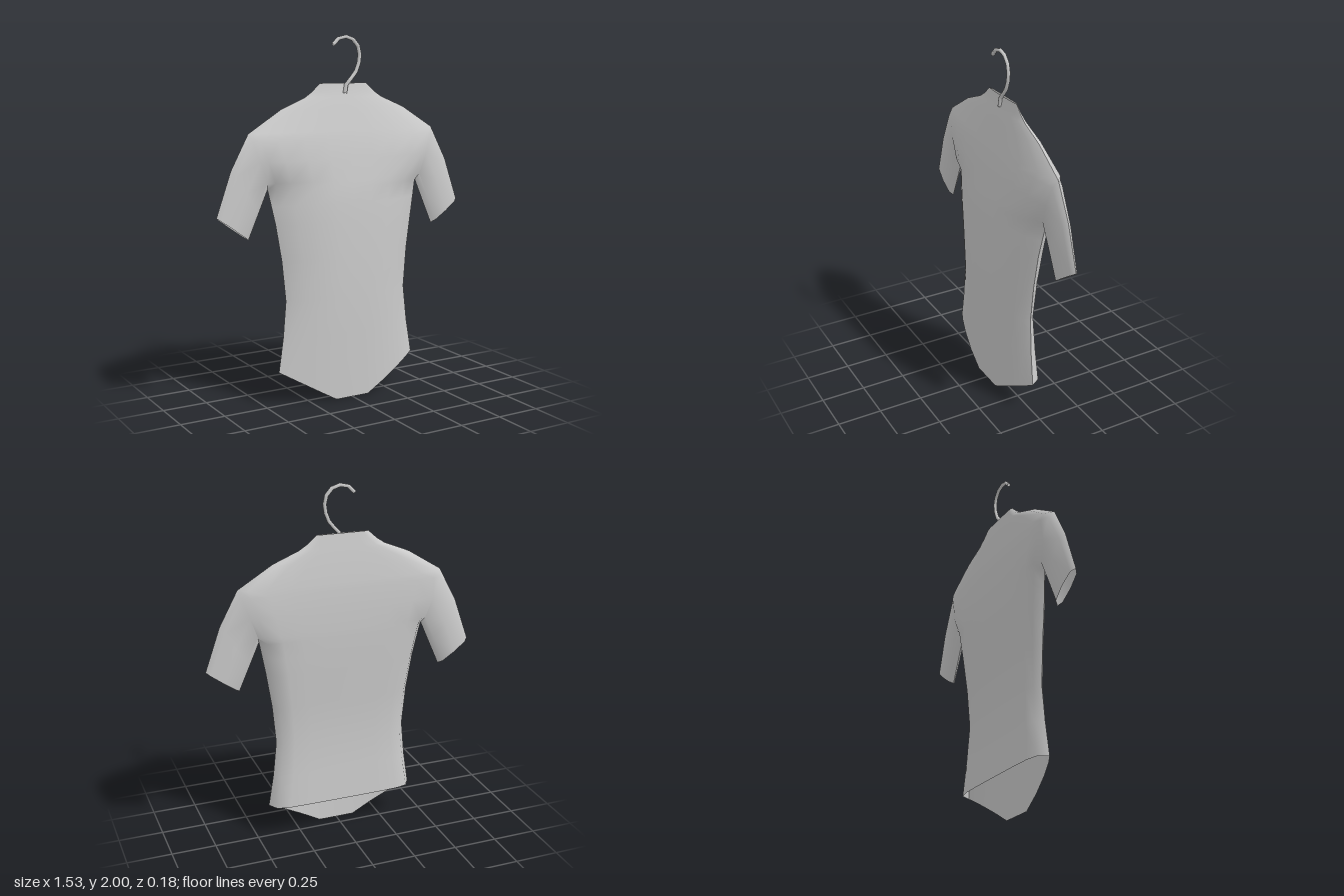
import * as THREE from 'three';
import { mergeGeometries, toCreasedNormals } from 'three/addons/utils/BufferGeometryUtils.js';

const { lerp } = THREE.MathUtils;

// Grid surface from point(row, col); flip turns the faces round.
function panel(rows, cols, point, flip) {
  const pos = [], idx = [];
  for (let i = 0; i < rows; i++) for (let j = 0; j < cols; j++) pos.push(...point(i, j));
  for (let i = 0; i < rows - 1; i++) for (let j = 0; j < cols - 1; j++) {
    const a = i * cols + j, b = a + 1, d = a + cols, c = d + 1;
    idx.push(...(flip ? [a, c, b, a, d, c] : [a, b, c, a, c, d]));
  }
  const g = new THREE.BufferGeometry();
  g.setAttribute('position', new THREE.Float32BufferAttribute(pos, 3));
  g.setIndex(idx);
  return g;
}

// Across the torso: position and bulge of front and back (0 = side edge, 1 = full depth)
const HALF = [[0, 1, 1], [0.24, 1, 1], [0.5, 0.88, 0.99], [0.75, 0.58, 0.95], [0.92, 0.25, 0.75], [1, 0, 0]];
const COLS = [...HALF.slice(1).reverse().map(([u, f, b]) => [-u, f, b]), ...HALF];

// Across the sleeve, from underarm to shoulder: position and fullness
const SLEEVE = [[0, 0], [0.12, 0.75], [0.5, 1], [0.88, 0.75], [1, 0]];
const INNER = [[0.47, 1.19], [0.525, 1.065], [0.585, 0.93]];
const OUTER = [[0.578, 1.49], [0.68, 1.3], [0.765, 1.06]];
const SLEEVE_MID = -0.026, SLEEVE_FRONT = [0.036, 0.03, 0.024], SLEEVE_BACK = [0.042, 0.036, 0.028];

// Torso rows: y, half width, front z, back z, side z
const LOWER = [
  [0.19, 0.43, 0.066, -0.065, 0.008],
  [0.38, 0.4, 0.082, -0.055, 0.004],
  [0.58, 0.38, 0.088, -0.045, 0],
  [0.8, 0.4, 0.09, -0.058, -0.004],
  [1.0, 0.432, 0.087, -0.074, -0.01],
  [1.1, 0.452, 0.084, -0.08, -0.018],
];
const CHEST = [[0.078, -0.085], [0.073, -0.086], [0.06, -0.087], [0.041, -0.083], [0.032, -0.08]];
const UPPER = [
  [1.61, 0.385, 0.003, -0.065, -0.03],
  [1.67, 0.24, -0.013, -0.056, -0.032],
  [1.7, 0.195, -0.022, -0.051, -0.034],
  [1.745, 0.145, -0.03, -0.044, -0.036],
];

// Chest rows end on the armhole, where their edges match the sleeve's opening
const armholeRows = SLEEVE.map(([s, p], k) => [
  lerp(INNER[0][1], OUTER[0][1], s), lerp(INNER[0][0], OUTER[0][0], s), ...CHEST[k],
  SLEEVE_MID + p * SLEEVE_FRONT[0], SLEEVE_MID - p * SLEEVE_BACK[0],
]);
const ROWS = [...LOWER, ...armholeRows, ...UPPER];

function torsoPanel(front) {
  return panel(ROWS.length, COLS.length, (i, j) => {
    const [y, w, zf, zb, edgeF, edgeB = edgeF] = ROWS[i];
    const [u, pf, pb] = COLS[j];
    const x = u * w;
    // the front hem drops to a low tail
    const hem = Math.max(0, (Math.abs(x) - 0.103) / 0.327) * 0.19;
    return [x, front && i === 0 ? hem : y, front ? lerp(edgeF, zf, pf) : lerp(edgeB, zb, pb)];
  }, !front);
}

function sleevePanel(side, front) {
  return panel(SLEEVE.length, INNER.length, (i, j) => {
    const [s, p] = SLEEVE[i];
    return [
      side * lerp(INNER[j][0], OUTER[j][0], s),
      lerp(INNER[j][1], OUTER[j][1], s),
      SLEEVE_MID + p * (front ? SLEEVE_FRONT[j] : -SLEEVE_BACK[j]),
    ];
  }, (side < 0) === front);
}

export function createModel() {
  const model = new THREE.Group();
  model.name = 'shirtOnHanger';
  const material = new THREE.MeshStandardMaterial({ color: 0xcccccc, side: THREE.DoubleSide });

  // Shirt: front and back panels with both sleeves, open at hem and cuffs
  const parts = [];
  for (const front of [true, false]) {
    parts.push(torsoPanel(front));
    for (const side of [1, -1]) parts.push(sleevePanel(side, front));
  }
  const shirt = new THREE.Mesh(toCreasedNormals(mergeGeometries(parts), 0.9), material);
  shirt.name = 'shirt';
  model.add(shirt);

  // Hanger hook: bent wire rising from the collar
  const path = new THREE.CatmullRomCurve3([
    [0, 1.69], [0.012, 1.745], [0.06, 1.79], [0.093, 1.88], [0.082, 1.945],
    [0.035, 1.988], [-0.03, 1.988], [-0.073, 1.95],
  ].map(([x, y]) => new THREE.Vector3(x, y, -0.017)));
  const hook = new THREE.Mesh(new THREE.TubeGeometry(path, 10, 0.011, 6), material);
  hook.name = 'hangerHook';
  model.add(hook);

  return model;
}
